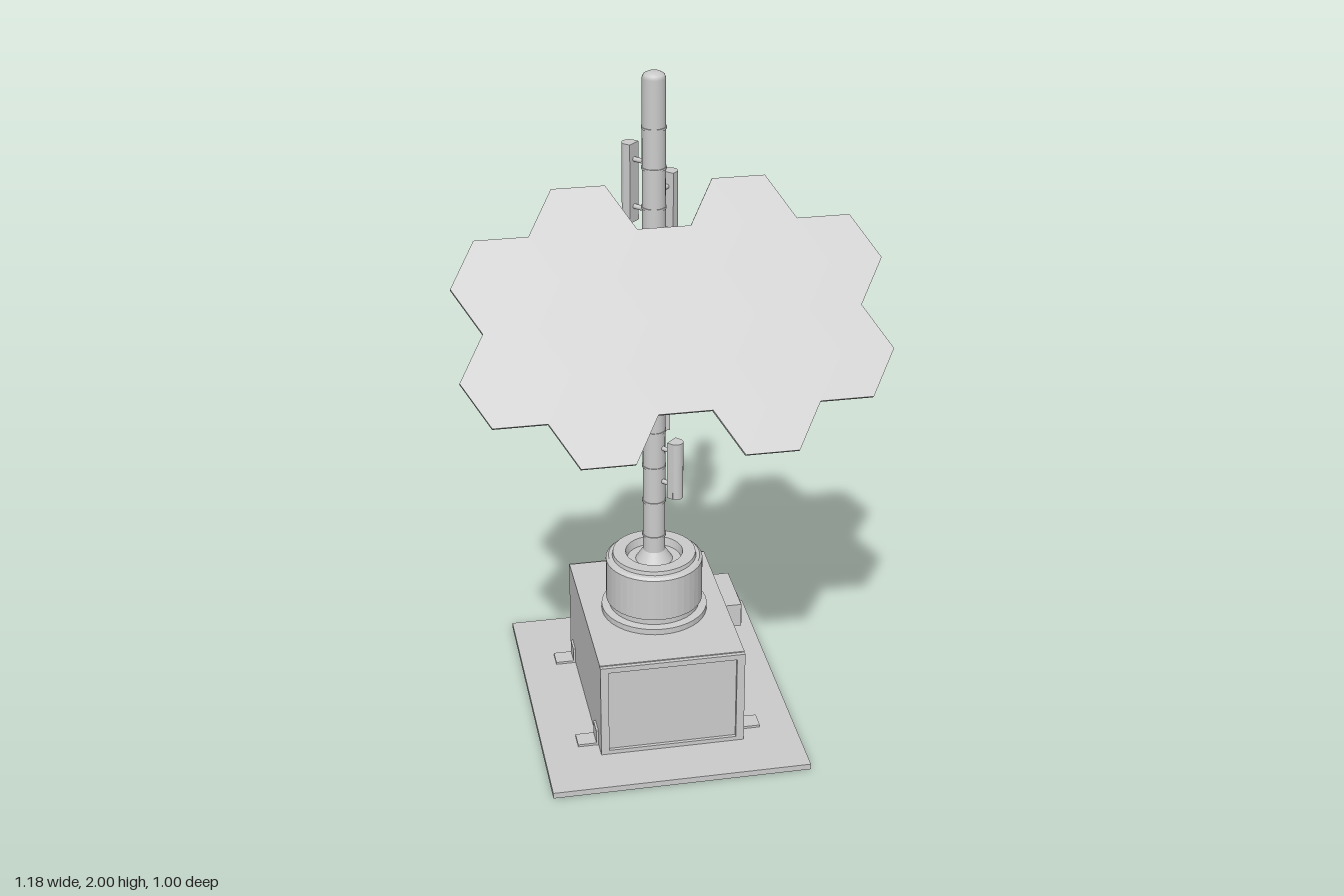
import * as THREE from 'three';

const mat = new THREE.MeshStandardMaterial({ color: 0xcccccc, flatShading: true });
const smooth = new THREE.MeshStandardMaterial({ color: 0xcccccc });
const MZ = -0.04; // depth of the mast axis

function add(parent, name, geo, x = 0, y = 0, z = 0, m = mat) {
  const mesh = new THREE.Mesh(geo, m);
  mesh.name = name;
  mesh.position.set(x, y, z);
  parent.add(mesh);
  return mesh;
}
// box from its minimum and maximum corners
function span(parent, name, x0, x1, y0, y1, z0, z1) {
  return add(parent, name, new THREE.BoxGeometry(x1 - x0, y1 - y0, z1 - z0),
    (x0 + x1) / 2, (y0 + y1) / 2, (z0 + z1) / 2);
}
// round bar between two points
function bar(parent, name, a, b, r, sides = 10) {
  const p = new THREE.Vector3(...a), q = new THREE.Vector3(...b);
  const mesh = add(parent, name, new THREE.CylinderGeometry(r, r, p.distanceTo(q), sides), 0, 0, 0, smooth);
  mesh.position.copy(p).lerp(q, 0.5);
  mesh.quaternion.setFromUnitVectors(new THREE.Vector3(0, 1, 0), q.sub(p).normalize());
  return mesh;
}
function rect(Type, x0, x1, y0, y1) {
  return new Type([[x0, y0], [x1, y0], [x1, y1], [x0, y1]].map(p => new THREE.Vector2(...p)));
}
// rectangular plate with rectangular openings
function frame(outer, holes, depth) {
  const s = rect(THREE.Shape, ...outer);
  s.holes = holes.map(h => rect(THREE.Path, ...h));
  return new THREE.ExtrudeGeometry(s, { depth, bevelEnabled: false });
}
const profile = pts => pts.map(p => new THREE.Vector2(...p));

function buildBase(root) {
  const g = new THREE.Group();
  g.name = 'base';
  root.add(g);
  const plate = add(g, 'groundPlate', frame([-0.38, 0.38, -0.42, 0.5], [[-0.2, 0.2, -0.245, 0.32]], 0.018), 0, 0.004, 0);
  plate.rotation.x = -Math.PI / 2;

  // hollow cabinet, open underneath
  for (const s of [-1, 1]) add(g, 'cabinetSide', new THREE.BoxGeometry(0.015, 0.3, 0.575), s * 0.2065, 0.172, MZ);
  span(g, 'cabinetTop', -0.214, 0.214, 0.31, 0.325, -0.33, 0.25);
  const outer = [-0.214, 0.214, 0.022, 0.322];
  add(g, 'frontFrame', frame(outer, [[-0.19, 0.19, 0.035, 0.305]], 0.015), 0, 0, 0.247);
  span(g, 'frontPanel', -0.2, 0.2, 0.03, 0.31, 0.24, 0.252);
  add(g, 'backFrame', frame(outer, [[-0.195, -0.012, 0.035, 0.305], [0.012, 0.195, 0.035, 0.305]], 0.015), 0, 0, -0.338);
  span(g, 'backPanel', -0.2, 0.2, 0.03, 0.31, -0.33, -0.32);
  for (const s of [-1, 1]) add(g, 'backDoor', new THREE.BoxGeometry(0.17, 0.255, 0.01), s * 0.1035, 0.17, -0.333);

  // anchor brackets
  for (const s of [-1, 1]) for (const z of [0.183, -0.263]) {
    add(g, 'anchorFoot', new THREE.BoxGeometry(0.064, 0.007, 0.055), s * 0.243, 0.026, z);
    add(g, 'anchorTab', new THREE.BoxGeometry(0.007, 0.05, 0.055), s * 0.217, 0.047, z);
  }

  span(g, 'sideBox', 0.21, 0.284, 0.185, 0.262, -0.29, -0.1);
  span(g, 'sideBoxCover', 0.28, 0.287, 0.19, 0.257, -0.18, -0.108);

  // turret the mast rises from
  add(g, 'turret', new THREE.LatheGeometry(profile([[0, 0.325], [0.158, 0.325], [0.158, 0.343], [0.135, 0.346],
    [0.135, 0.365], [0.144, 0.367], [0.144, 0.5], [0.136, 0.507], [0.125, 0.508], [0.123, 0.52], [0.085, 0.52],
    [0.08, 0.495], [0.055, 0.495], [0.033, 0.53]]), 40), 0, 0, MZ);
}

function buildMast(root) {
  const g = new THREE.Group();
  g.name = 'mastAssembly';
  g.position.z = MZ;
  root.add(g);
  add(g, 'mast', new THREE.LatheGeometry(profile([[0.033, 0.49], [0.033, 1.984], [0.029, 1.994], [0.018, 2], [0, 2]]), 24), 0, 0, 0, smooth);
  // cable with clips
  bar(g, 'cable', [0.023, 0.5, -0.023], [0.023, 1.95, -0.023], 0.004, 6);
  for (let y = 0.58; y < 1.96; y += 0.115)
    add(g, 'cableClip', new THREE.CylinderGeometry(0.0355, 0.0355, 0.006, 20), 0, y, 0);

  // rear equipment box
  add(g, 'equipmentBox', new THREE.BoxGeometry(0.118, 0.18, 0.063), 0, 0.975, -0.096);
  for (const y of [0.9, 1.05]) bar(g, 'boxBracket', [0, y, 0], [0, y, -0.08], 0.012);

  // slim antennas, each turned outwards
  const antenna = (x, y, z, h, yaw) => {
    const a = new THREE.Group();
    a.name = 'antenna';
    a.position.set(x, y, z);
    a.rotation.y = yaw;
    g.add(a);
    add(a, 'antennaBody', new THREE.BoxGeometry(0.042, h, 0.02), 0, 0, -0.007);
    add(a, 'antennaFace', new THREE.CylinderGeometry(0.021, 0.021, h, 14, 1, false, -Math.PI / 2, Math.PI).rotateY(Math.PI), 0, 0, -0.014);
    for (const t of [-0.3, 0.3]) bar(g, 'antennaBracket', [0, y + t * h, 0], [x, y + t * h, z], 0.007);
  };
  antenna(-0.048, 1.67, -0.05, 0.23, Math.PI / 4);
  antenna(0.048, 1.59, -0.05, 0.21, -Math.PI / 4);
  antenna(0.044, 0.82, 0.048, 0.18, -Math.PI * 0.75);

  // swivel collar with two side drums
  add(g, 'collar', new THREE.CylinderGeometry(0.066, 0.066, 0.094, 28), 0, 1.177, 0);
  bar(g, 'pivotShaft', [-0.1, 1.177, 0], [0.1, 1.177, 0], 0.03, 20);
  for (const s of [-1, 1]) {
    const drum = add(g, 'pivotDrum', new THREE.LatheGeometry(profile([[0, -0.02], [0.046, -0.02], [0.052, -0.014],
      [0.052, 0.014], [0.046, 0.02], [0, 0.02]]), 28), s * 0.084, 1.177, 0);
    drum.rotation.z = Math.PI / 2;
  }
}

function buildArray(root) {
  const S = 0.147, H = S * Math.sqrt(3), T = 0.013;
  for (const s of [-1, 1]) bar(root, 'supportArm', [s * 0.083, 1.19, -0.02], [s * 0.083, 1.395, 0.245], 0.012);

  const g = new THREE.Group();
  g.name = 'hexPanelArray';
  g.position.set(0, 1.408, 0.26);
  g.rotation.x = -0.66;
  root.add(g);

  // columns of hexagonal tiles
  const cell = new THREE.CylinderGeometry(S, S, T, 6).rotateY(Math.PI / 6).rotateX(Math.PI / 2).rotateZ(Math.PI / 6);
  cell.computeBoundingBox();
  if (cell.boundingBox.max.x < S * 0.99) cell.rotateZ(Math.PI / 6);
  const dish = new THREE.LatheGeometry(profile([[0.066, 0], [0.062, 0.006], [0.045, 0.009], [0.043, 0.015],
    [0.024, 0.018], [0.022, 0.024], [0.01, 0.025], [0.009, 0.031], [0, 0.031]]), 24).rotateX(-Math.PI / 2);
  for (let c = -2; c <= 2; c++)
    for (const r of c % 2 ? [-1, 0, 1] : [-0.5, 0.5]) {
      add(g, 'hexTile', cell, c * 1.5 * S, r * H, 0);
      if (c) add(g, 'rearDisc', dish, c * 1.5 * S, r * H, -T / 2);
    }

  // ladder frame behind the tiles
  for (const s of [-1, 1]) add(g, 'frameRail', new THREE.BoxGeometry(0.74, 0.016, 0.016), 0, s * 0.105, -0.016);
  for (const x of [-0.35, -0.125, 0, 0.125, 0.35])
    add(g, 'frameCrossbar', new THREE.BoxGeometry(0.012, 0.21, 0.014), x, 0, -0.015);
  add(g, 'armMount', new THREE.BoxGeometry(0.25, 0.024, 0.018), 0, 0, -0.018);
}

export function createModel() {
  const root = new THREE.Group();
  root.name = 'sensorMast';
  buildBase(root);
  buildMast(root);
  buildArray(root);
  return root;
}
